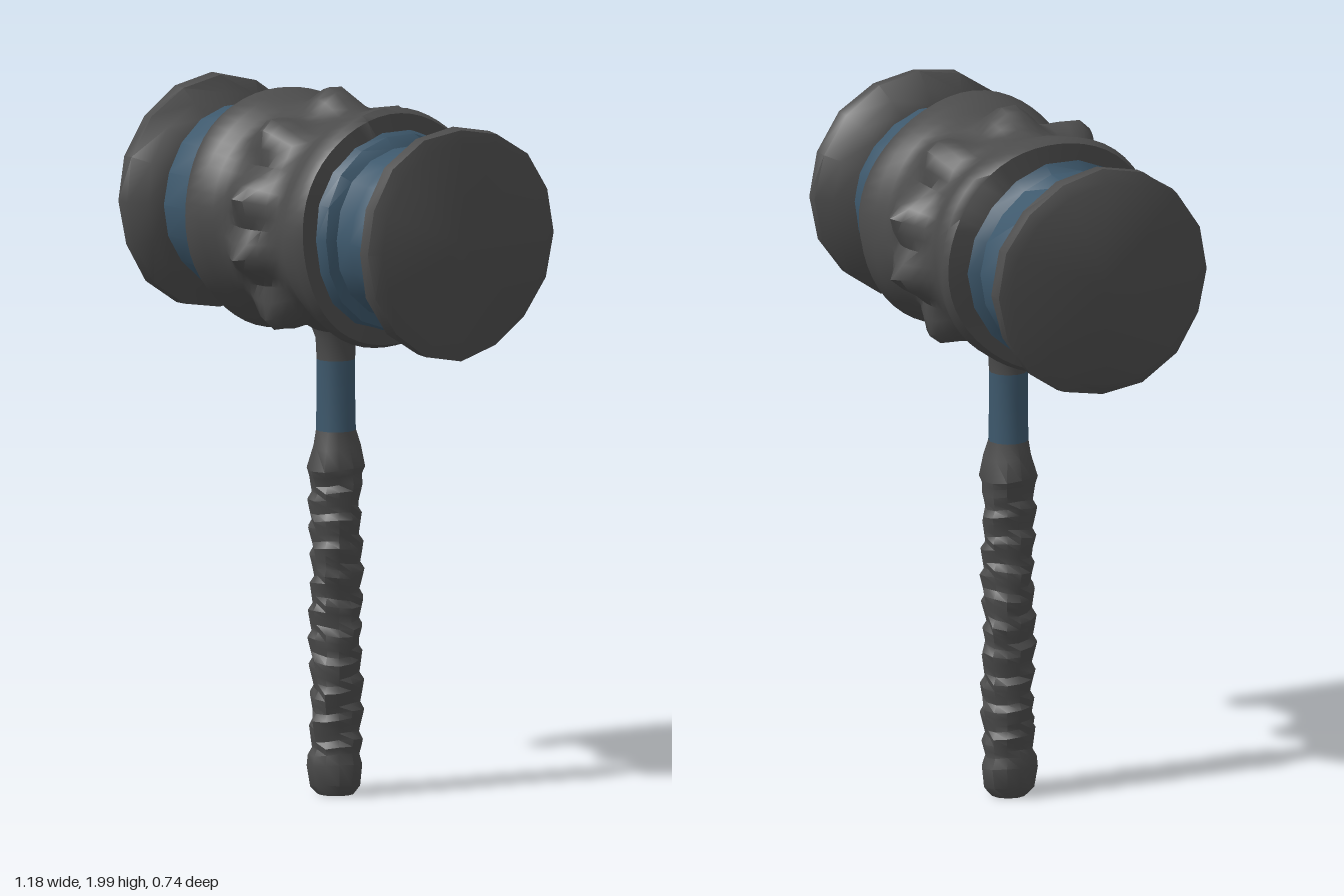
import * as THREE from 'three';
import { mergeVertices, toCreasedNormals } from 'three/addons/utils/BufferGeometryUtils.js';

const HEAD_Y = 1.63;

// Revolves [radius, height] pairs about y, then moves each vertex by a rule.
function turned(profile, sides, rule, crease = 0.75) {
  let geo = new THREE.LatheGeometry(profile.map(([r, h]) => new THREE.Vector2(r, h)), sides);
  geo.deleteAttribute('uv');
  geo.deleteAttribute('normal');
  geo = mergeVertices(geo, 1e-5);
  const pos = geo.attributes.position;
  const v = new THREE.Vector3();
  for (let i = 0; i < pos.count; i++) {
    v.fromBufferAttribute(pos, i);
    const r = Math.hypot(v.x, v.z);
    if (r > 1e-4) {
      const a = Math.atan2(v.z, v.x);
      const [nr, nh] = rule(r, v.y, a);
      pos.setXYZ(i, Math.cos(a) * nr, nh, Math.sin(a) * nr);
    }
  }
  return toCreasedNormals(geo, crease);
}

// Gentle hand-hammered unevenness
const uneven = (r, h, a) => [
  r * (1 + 0.012 * Math.sin(3 * a + h * 23) + 0.008 * Math.sin(5 * a - h * 31)),
  h + 0.006 * Math.sin(2 * a + r * 40),
];

export function createModel() {
  const model = new THREE.Group();
  const iron = new THREE.MeshStandardMaterial({ color: 0x4c4c4c });
  iron.name = 'dark iron';
  const blue = new THREE.MeshStandardMaterial({ color: 0x3d586c });
  blue.name = 'steel blue';

  const add = (parent, name, geo, mat) => {
    const mesh = new THREE.Mesh(geo, mat);
    mesh.name = name;
    parent.add(mesh);
  };

  // Head: turned about y, then laid along x
  const head = new THREE.Group();
  head.name = 'head';
  head.position.y = HEAD_Y;
  head.rotation.z = -Math.PI / 2;
  model.add(head);

  // Barrel with raised shoulders and a ring of spikes round the middle
  const half = [[0.305, 0], [0.305, 0.03], [0.305, 0.06], [0.305, 0.09], [0.305, 0.12],
    [0.312, 0.15], [0.328, 0.19], [0.337, 0.245], [0.325, 0.268], [0.22, 0.278]];
  const barrel = [...half.slice(1).reverse().map(([r, h]) => [r, -h]), ...half];
  const spikes = [0, 40, 76, 103, 140, 180, 220, 257, 284, 320].map((d) => d * Math.PI / 180);
  const spiked = (r, h, a) => {
    // Angle measured from the top of the head
    const up = a - Math.PI;
    let lift = 0;
    for (const s of spikes) {
      const arc = Math.atan2(Math.sin(up - s), Math.cos(up - s)) * 0.31;
      const near = Math.max(0, 1 - Math.hypot(h * 0.85, arc) / 0.095);
      const height = s === Math.PI ? 0.035 : 0.075;
      lift = Math.max(lift, height * near);
    }
    const [nr, nh] = uneven(r, h, a);
    return [nr + lift, nh];
  };
  add(head, 'spikedBarrel', turned(barrel, 54, spiked, 0.8), iron);

  // Blue necks and flared striking ends
  const neckLeft = [[0.2, 0.25], [0.285, 0.268], [0.275, 0.3], [0.245, 0.315],
    [0.243, 0.38], [0.25, 0.44], [0.235, 0.475]];
  const neckRight = [[0.235, -0.475], [0.262, -0.445], [0.262, -0.34],
    [0.288, -0.318], [0.27, -0.29], [0.2, -0.25]];
  const cap = [[0.2, 0.445], [0.245, 0.462], [0.285, 0.495], [0.327, 0.53],
    [0.326, 0.568], [0.29, 0.584], [0, 0.584]];
  add(head, 'leftNeck', turned(neckLeft, 18, uneven), blue);
  add(head, 'rightNeck', turned(neckRight, 18, uneven), blue);
  add(head, 'leftStrikingEnd', turned(cap, 16, uneven, 0.9), iron);
  add(head, 'rightStrikingEnd',
    turned(cap.map(([r, h]) => [r, -h]).reverse(), 16, uneven, 0.9), iron);

  // Grip: overlapping wraps that climb in a spiral
  const grip = [[0, 0.004], [0.052, 0.004], [0.07, 0.03], [0.078, 0.09], [0.07, 0.12]];
  for (let y = 0.14; y < 0.9; y += 0.02) grip.push([0.071, y]);
  grip.push([0.074, 0.905], [0.082, 0.925], [0.066, 0.985], [0.056, 1.03]);
  const wrap = (r, h, a) => {
    if (h < 0.02 || h > 1) return [r, h];
    const turn = h / 0.08 + a / (2 * Math.PI);
    const ridge = h > 0.11 && h < 0.9 ? (turn - Math.floor(turn) - 0.5) * 0.016 : 0;
    return [r + ridge + 0.004 * Math.sin(3 * a + h * 17), h + 0.006 * Math.sin(a * 2 + h * 9)];
  };
  add(model, 'wrappedGrip', turned(grip, 12, wrap, 0.7), iron);

  // Shaft between grip and head
  const plain = (r, h) => [r, h];
  add(model, 'shaftBand', turned([[0.056, 1.03], [0.054, 1.13], [0.054, 1.23]], 12, plain), blue);
  add(model, 'shaftCollar', turned([[0.054, 1.23], [0.057, 1.29], [0.075, 1.34]], 12, plain), iron);

  return model;
}
